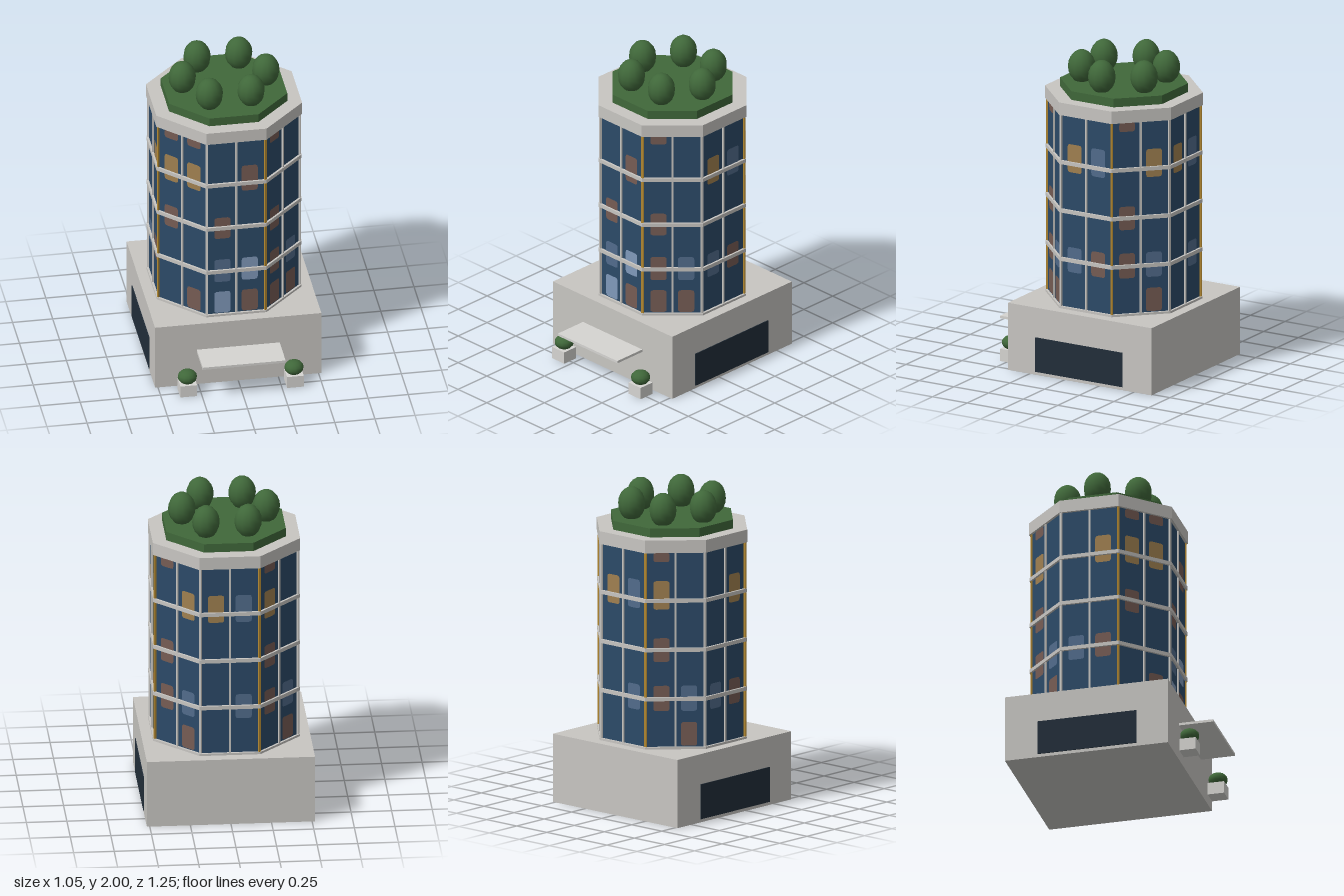
import * as THREE from 'three';

const CZ = -0.11;      // tower axis
const APO = 0.438;     // glass apothem
const BASE_TOP = 0.43, GLASS_TOP = 1.68;

function mat(name, color) {
  const m = new THREE.MeshStandardMaterial({ color });
  m.name = name;
  return m;
}

function add(parent, name, geometry, material, x = 0, y = 0, z = 0) {
  const mesh = new THREE.Mesh(geometry, material);
  mesh.name = name;
  mesh.position.set(x, y, z);
  parent.add(mesh);
  return mesh;
}

// Flat-sided octagonal prism given its apothem
function octagon(apothem, height) {
  const r = apothem / Math.cos(Math.PI / 8);
  const g = new THREE.CylinderGeometry(r, r, height, 8).rotateY(Math.PI / 8).toNonIndexed();
  g.computeVertexNormals();
  return g;
}

// Rounded rectangle for a lit window
function roundedRect(w, h, r) {
  const s = new THREE.Shape(), x = w / 2, y = h / 2;
  s.moveTo(-x + r, -y);
  s.lineTo(x - r, -y).quadraticCurveTo(x, -y, x, -y + r);
  s.lineTo(x, y - r).quadraticCurveTo(x, y, x - r, y);
  s.lineTo(-x + r, y).quadraticCurveTo(-x, y, -x, y - r);
  s.lineTo(-x, -y + r).quadraticCurveTo(-x, -y, -x + r, -y);
  return new THREE.ShapeGeometry(s, 3);
}

// Rows of lit windows; panes run 0-15 around the tower, two per facade
const LIT_ROWS = [
  { bottom: 0.45, height: 0.15, brown: [1, 2, 3, 7, 11, 15], pale: [0] },
  { bottom: 0.67, height: 0.16, slate: [0, 3, 4, 7, 9, 11, 12], brown: [2, 5, 6, 10, 13], pale: [1] },
  { bottom: 0.98, height: 0.15, brown: [0, 2, 6, 10, 14] },
  { bottom: 1.31, height: 0.18, amber: [4, 7, 8, 10, 13, 14, 15], brown: [1], slate: [5, 9] },
  { bottom: 1.61, height: 0.06, brown: [2, 6, 10, 14, 15] },
];

export function createModel() {
  const model = new THREE.Group();
  model.name = 'gardenTower';
  const stone = mat('stone', 0xc8c6c2);
  const concrete = mat('paleConcrete', 0xd6d5d2);
  const glass = mat('blueGlass', 0x2c4a68);
  const dark = mat('darkGlass', 0x222e3a);
  const green = mat('foliage', 0x40683a);
  const gold = mat('gold', 0xb58a32);
  const tints = {
    amber: mat('amberLight', 0xa08050),
    brown: mat('brownLight', 0x765c54),
    pale: mat('paleBlueLight', 0x8099ba),
    slate: mat('slateLight', 0x526c8c),
  };

  // Podium with side windows
  add(model, 'podium', new THREE.BoxGeometry(1.036, BASE_TOP, 1.036), stone, 0, BASE_TOP / 2, CZ);
  for (const s of [-1, 1])
    add(model, 'podiumWindow', new THREE.BoxGeometry(0.008, 0.22, 0.63), dark, s * 0.519, 0.13, -0.105);

  // Entrance canopy
  add(model, 'canopy', new THREE.BoxGeometry(0.516, 0.016, 0.225), concrete, 0, 0.238, 0.5125);

  // Planters
  for (const s of [-1, 1]) {
    add(model, 'planter', new THREE.BoxGeometry(0.104, 0.078, 0.104), concrete, s * 0.332, 0.039, 0.497);
    add(model, 'planterBush', new THREE.SphereGeometry(0.06, 12, 8).scale(1, 0.75, 1), green, s * 0.332, 0.115, 0.497);
  }

  // Glass tower
  const tower = new THREE.Group();
  tower.name = 'tower';
  tower.position.z = CZ;
  model.add(tower);
  const h = GLASS_TOP - BASE_TOP, midY = (GLASS_TOP + BASE_TOP) / 2;
  add(tower, 'glassCore', octagon(APO, h), glass, 0, midY, 0);
  add(tower, 'footBand', octagon(0.452, 0.014), stone, 0, 0.438, 0);
  for (let i = 0; i < 3; i++)
    add(tower, 'floorBand', octagon(0.452, 0.024), stone, 0, 0.747 + i * 0.31, 0);

  // Eight facades: centre mullion and corner post, gold on every other corner
  const cornerR = APO / Math.cos(Math.PI / 8);
  const facades = [];
  for (let k = 0; k < 8; k++) {
    const facade = new THREE.Group();
    facade.name = 'facade';
    facade.rotation.y = k * Math.PI / 4;
    tower.add(facade);
    facades.push(facade);
    add(facade, 'mullion', new THREE.BoxGeometry(0.012, h, 0.02), stone, 0, midY, APO);
    const corner = new THREE.Group();
    corner.name = 'corner';
    corner.rotation.y = Math.PI / 8;
    facade.add(corner);
    add(corner, 'cornerPost', new THREE.BoxGeometry(0.015, h, 0.018), k % 2 ? stone : gold, 0, midY, cornerR);
  }

  // Lit windows on the facades
  for (const row of LIT_ROWS)
    for (const tint of Object.keys(tints))
      for (const pane of row[tint] ?? [])
        add(facades[Math.floor(pane / 2)], 'litWindow', roundedRect(0.1, row.height, 0.018), tints[tint],
          pane % 2 ? 0.085 : -0.085, row.bottom + row.height / 2, APO + 0.002);

  // Parapet and roof garden
  add(tower, 'parapet', octagon(0.454, 0.08), stone, 0, 1.71, 0);
  add(tower, 'roofLawn', octagon(0.368, 0.055), green, 0, 1.7775, 0);
  for (let i = 0; i < 6; i++) {
    const a = i * Math.PI / 3;
    add(tower, 'roofTree', new THREE.SphereGeometry(0.085, 12, 10).scale(1, 1.24, 1), green,
      0.26 * Math.cos(a), 1.895, 0.26 * Math.sin(a));
  }
  return model;
}
